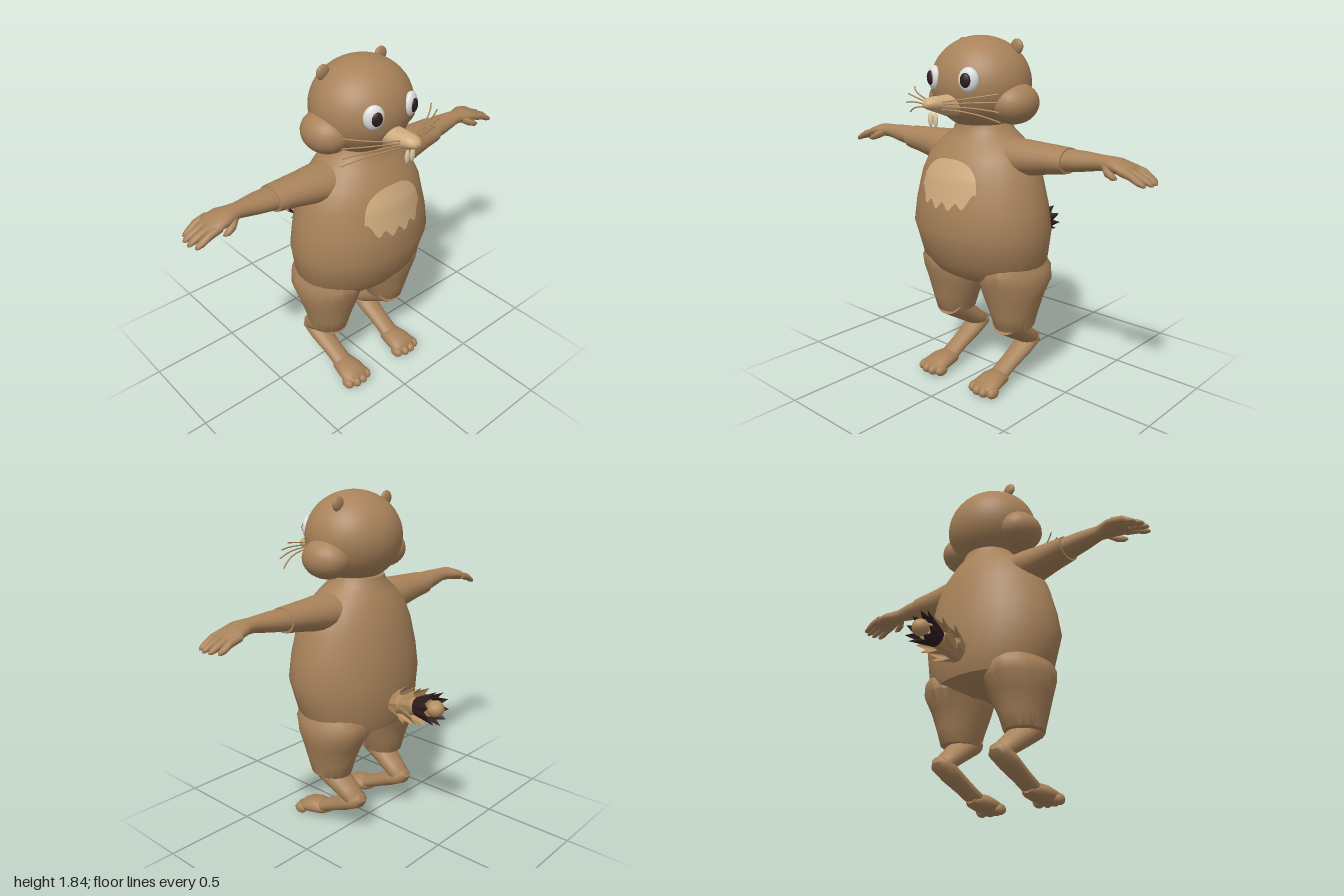
import * as THREE from 'three';
import { toCreasedNormals } from 'three/addons/utils/BufferGeometryUtils.js';

const V = (x, y, z) => new THREE.Vector3(x, y, z);
const X = V(1, 0, 0), Y = V(0, 1, 0), Z = V(0, 0, 1);

// Skin elliptical rings [x, y, z, ru, rv]; u is the first ring axis, dir the way the rings advance
function loft(rings, u, dir, seg = 20, crease = 0.7) {
  const d = dir.clone().normalize(), v = d.clone().cross(u), pos = [], idx = [];
  for (const [x, y, z, a, b] of rings) {
    for (let i = 0; i < seg; i++) {
      const t = (i / seg) * Math.PI * 2;
      const p = V(x, y, z).addScaledVector(u, a * Math.cos(t)).addScaledVector(v, b * Math.sin(t));
      pos.push(p.x, p.y, p.z);
    }
  }
  const n = rings.length, first = n * seg, last = first + 1;
  pos.push(...rings[0].slice(0, 3), ...rings[n - 1].slice(0, 3));
  for (let i = 0; i < seg; i++) {
    const j = (i + 1) % seg, e = (n - 1) * seg;
    for (let k = 0; k < n - 1; k++) {
      const a = k * seg + i, b = k * seg + j;
      idx.push(a, b, b + seg, a, b + seg, a + seg);
    }
    idx.push(first, j, i, last, e + i, e + j);
  }
  const g = new THREE.BufferGeometry();
  g.setAttribute('position', new THREE.Float32BufferAttribute(pos, 3));
  g.setIndex(idx);
  return toCreasedNormals(g, crease);
}

// Ellipsoid, optionally turned around y
function blob(x, y, z, rx, ry, rz, turn = 0, seg = 24) {
  return new THREE.SphereGeometry(1, seg, Math.round(seg * 0.7)).scale(rx, ry, rz).rotateY(turn).translate(x, y, z);
}

// Copy reflected in x, with corner order restored
function mirrored(geo) {
  const g = geo.index ? geo.toNonIndexed() : geo.clone();
  g.scale(-1, 1, 1);
  for (const a of Object.values(g.attributes)) {
    for (let i = 0; i < a.count; i += 3) {
      for (let c = 0; c < a.itemSize; c++) {
        const t = a.getComponent(i + 1, c);
        a.setComponent(i + 1, c, a.getComponent(i + 2, c));
        a.setComponent(i + 2, c, t);
      }
    }
  }
  return g;
}

// Torso sections: y, half width, front z, back z
const torso = [
  [0.555, 0.10, 0.16, -0.02], [0.585, 0.24, 0.24, -0.11], [0.62, 0.32, 0.30, -0.17],
  [0.70, 0.37, 0.365, -0.195], [0.87, 0.405, 0.41, -0.2], [1.0, 0.387, 0.395, -0.187],
  [1.15, 0.35, 0.365, -0.16], [1.25, 0.305, 0.325, -0.13], [1.33, 0.225, 0.265, -0.095],
  [1.37, 0.165, 0.235, -0.07], [1.41, 0.145, 0.23, -0.06],
];

function torsoFront(x, y) {
  const k = Math.max(1, torso.findIndex((s) => s[0] >= y));
  const t = (y - torso[k - 1][0]) / (torso[k][0] - torso[k - 1][0]);
  const [w, f, b] = [1, 2, 3].map((i) => THREE.MathUtils.lerp(torso[k - 1][i], torso[k][i], t));
  return (f + b) / 2 + ((f - b) / 2) * Math.sqrt(Math.max(0, 1 - (x / w) ** 2));
}

// Rounded chest patch with a ragged lower edge, laid over the torso
function chestPatch() {
  const g = new THREE.PlaneGeometry(2, 1, 24, 10), p = g.attributes.position;
  for (let i = 0; i < p.count; i++) {
    const s = p.getX(i), t = p.getY(i) + 0.5;
    const top = 1.09 + 0.155 * Math.sqrt(Math.max(0, 1 - Math.abs(s) ** 2.6));
    const bottom = 1.015 + 0.075 * s ** 4 + 0.02 * Math.cos(s * Math.PI * 4.5);
    const x = s * 0.187, y = bottom + (top - bottom) * t;
    p.setXYZ(i, x, y, torsoFront(x, y) + 0.008);
  }
  g.computeVertexNormals();
  return g;
}

// Flared tail tuft with a zigzag rim, opening along +y before placement
function tuft(r0, r1, len) {
  const g = new THREE.CylinderGeometry(r1, r0, len, 20, 1, true).toNonIndexed(), p = g.attributes.position;
  for (let i = 0; i < p.count; i++) {
    if (p.getY(i) < 0) continue;
    const k = Math.round((Math.atan2(p.getX(i), p.getZ(i)) / (Math.PI * 2)) * 20 + 20) % 2;
    if (k) p.setXYZ(i, p.getX(i) * 0.78, p.getY(i) - len * 0.3, p.getZ(i) * 0.78);
  }
  g.computeVertexNormals();
  return g;
}

export function createModel() {
  const model = new THREE.Group();
  const mat = (name, color, side = THREE.FrontSide) => {
    const m = new THREE.MeshStandardMaterial({ color, side });
    m.name = name;
    return m;
  };
  const fur = mat('brown fur', 0xa8825a);
  const pale = mat('pale fur', 0xd0ac7e, THREE.DoubleSide);
  const tan = mat('tan fur', 0xb58e60, THREE.DoubleSide);
  const dark = mat('dark brown', 0x2f1c1e, THREE.DoubleSide);
  const white = mat('eye white', 0xdedfe0);
  const ivory = mat('ivory', 0xe3cba4);

  const add = (name, geo, m) => {
    const mesh = new THREE.Mesh(geo, m);
    mesh.name = name;
    model.add(mesh);
    return mesh;
  };
  const pair = (name, geo, m) => {
    add(name + 'Left', geo, m);
    add(name + 'Right', mirrored(geo), m);
  };

  // Torso and chest
  add('torso', loft(torso.map(([y, w, f, b]) => [0, y, (f + b) / 2, w, (f - b) / 2]), X, Y, 28), fur);
  add('chestPatch', chestPatch(), pale);

  // Head, cheeks, ears
  add('head', blob(0, 1.605, 0.105, 0.265, 0.235, 0.247, 0, 36), fur);
  pair('cheek', blob(0.212, 1.517, 0.095, 0.118, 0.105, 0.135), fur);
  pair('ear', blob(0.182, 1.787, 0.042, 0.038, 0.038, 0.017, 0, 16), fur);

  // Eyes
  pair('eye', blob(0.117, 1.637, 0.32, 0.052, 0.061, 0.03, 0.4), white);
  pair('pupil', blob(0.118, 1.637, 0.342, 0.029, 0.036, 0.018, 0.3, 16), dark);

  // Snout, teeth, whiskers
  add('snout', loft([
    [0, 1.51, 0.29, 0.062, 0.055], [0, 1.515, 0.38, 0.056, 0.047], [0, 1.525, 0.44, 0.048, 0.036],
    [0, 1.528, 0.475, 0.038, 0.028], [0, 1.526, 0.493, 0.023, 0.017], [0, 1.525, 0.5, 0.008, 0.006],
  ], X, Z, 18, 1.2), pale);
  pair('tooth', blob(0.017, 1.452, 0.446, 0.015, 0.036, 0.009, 0, 12), ivory);
  [[0.285, 1.58, 0.3], [0.31, 1.545, 0.32], [0.315, 1.5, 0.33], [0.31, 1.45, 0.31]].forEach(([x, y, z], i) => {
    const path = new THREE.QuadraticBezierCurve3(
      V(0.04, 1.535 - i * 0.012, 0.425), V(0.19, 1.56 - i * 0.018, 0.39), V(x, y, z));
    pair('whisker' + (i + 1), new THREE.TubeGeometry(path, 10, 0.0038, 5), tan);
  });

  // Arms: upper sleeve, forearm with palm, fingers, thumb
  pair('upperArm', loft([
    [0.14, 1.245, 0.085, 0.095, 0.12], [0.28, 1.25, 0.085, 0.092, 0.115], [0.36, 1.255, 0.083, 0.083, 0.1],
    [0.45, 1.262, 0.08, 0.072, 0.09], [0.54, 1.266, 0.077, 0.063, 0.082],
  ], Y, X), fur);
  pair('forearm', loft([
    [0.5, 1.265, 0.077, 0.057, 0.077], [0.62, 1.275, 0.078, 0.05, 0.062], [0.73, 1.283, 0.08, 0.037, 0.042],
    [0.77, 1.283, 0.08, 0.036, 0.055], [0.81, 1.28, 0.077, 0.036, 0.07], [0.87, 1.266, 0.072, 0.03, 0.077],
    [0.905, 1.25, 0.07, 0.018, 0.07],
  ], Y, X, 20, 0.9), fur);
  [0.132, 0.09, 0.048, 0.008].forEach((z, i) => {
    const e = [0.985, 1, 0.997, 0.975][i];
    pair('finger' + (i + 1), loft([
      [0.85, 1.268, z, 0.02, 0.02], [0.91, 1.252, z, 0.02, 0.021], [e - 0.035, 1.232, z, 0.018, 0.02],
      [e - 0.01, 1.221, z, 0.012, 0.014], [e, 1.216, z, 0.004, 0.005],
    ], Y, X, 10, 1.2), fur);
  });
  pair('thumb', loft([
    [0.755, 1.275, 0.11, 0.02, 0.022], [0.79, 1.258, 0.14, 0.022, 0.022], [0.825, 1.243, 0.149, 0.018, 0.018],
    [0.85, 1.235, 0.15, 0.006, 0.006],
  ], Y, X, 10, 1.2), fur);

  // Legs: baggy thigh, shin, long hock
  pair('thigh', loft([
    [0.212, 0.335, 0.085, 0.095, 0.113], [0.214, 0.34, 0.085, 0.1, 0.118], [0.212, 0.42, 0.085, 0.122, 0.14],
    [0.204, 0.52, 0.08, 0.158, 0.172], [0.205, 0.6, 0.068, 0.18, 0.21], [0.215, 0.66, 0.075, 0.162, 0.215],
    [0.22, 0.72, 0.085, 0.125, 0.18],
  ], X, Y), fur);
  pair('shin', loft([
    [0.208, 0.37, 0.15, 0.088, 0.07], [0.205, 0.31, 0.065, 0.08, 0.062], [0.193, 0.24, -0.03, 0.066, 0.05],
    [0.19, 0.205, -0.075, 0.06, 0.045], [0.19, 0.185, -0.1, 0.035, 0.028],
  ], X, V(0, -0.6, -0.8), 18, 0.9), fur);
  pair('hock', loft([
    [0.19, 0.225, -0.12, 0.03, 0.02], [0.19, 0.208, -0.09, 0.062, 0.045], [0.19, 0.165, -0.01, 0.062, 0.044],
    [0.188, 0.115, 0.09, 0.054, 0.038], [0.186, 0.075, 0.17, 0.055, 0.036], [0.186, 0.055, 0.22, 0.05, 0.03],
  ], X, V(0, -0.48, 0.88), 18, 0.9), fur);

  // Feet and toes
  pair('foot', loft([
    [0.186, 0.062, 0.13, 0.03, 0.018], [0.186, 0.064, 0.17, 0.062, 0.04], [0.188, 0.058, 0.24, 0.075, 0.046],
    [0.19, 0.046, 0.3, 0.08, 0.038], [0.19, 0.036, 0.33, 0.07, 0.026],
  ], X, Z, 18, 1), fur);
  [0.126, 0.168, 0.212, 0.254].forEach((x, i) => {
    const inner = i === 1 || i === 2;
    pair('toe' + (i + 1), blob(x, 0.034, inner ? 0.318 : 0.303, 0.026, 0.03, 0.04, 0, 12), fur);
  });

  // Tail: stacked flared tufts with a dark one last, and a pale tip
  const tail = new THREE.Group();
  tail.name = 'tail';
  tail.position.set(0, 0.74, -0.17);
  tail.rotation.x = -Math.PI / 2 + 0.16;
  model.add(tail);
  [[0.05, 0.108, 0.13, 0.055, tan], [0.05, 0.106, 0.13, 0.145, tan], [0.05, 0.09, 0.135, 0.238, dark]]
    .forEach(([r0, r1, len, at, m], i) => {
      const t = add('tailTuft' + (i + 1), tuft(r0, r1, len), m);
      t.position.y = at;
      tail.add(t);
    });
  tail.add(add('tailCore', new THREE.CylinderGeometry(0.045, 0.055, 0.3, 12).translate(0, 0.1, 0), tan));
  tail.add(add('tailTip', blob(0, 0.285, 0, 0.045, 0.047, 0.045, 0, 12), tan));

  return model;
}
